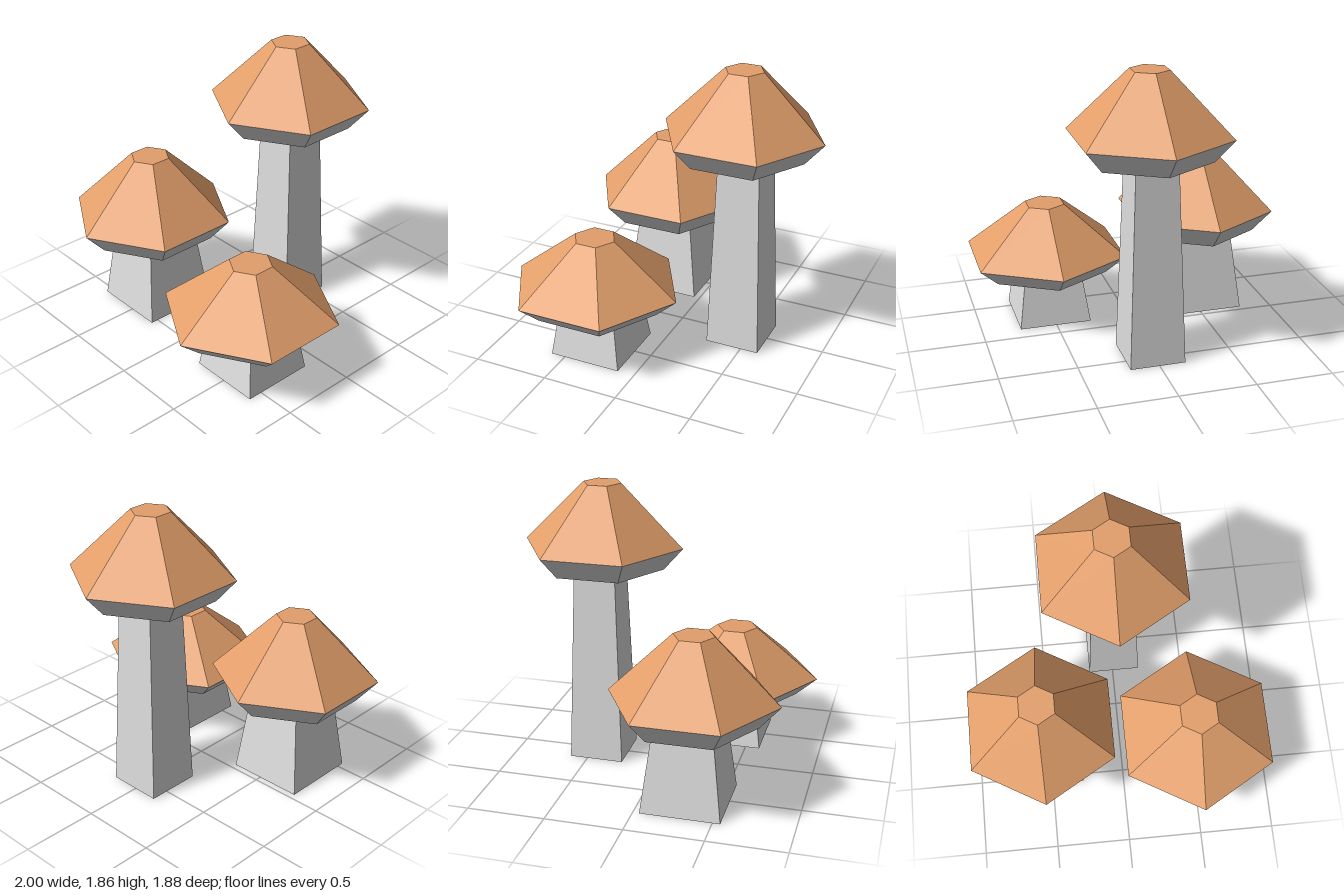
import * as THREE from 'three';

const capMat = new THREE.MeshStandardMaterial({ name: 'tan cap', color: 0xe39f6b, flatShading: true });
const stemMat = new THREE.MeshStandardMaterial({ name: 'pale grey', color: 0xdedede, flatShading: true });

// Frustum with n sides between heights y0 and y1.
function frustum(name, rTop, rBottom, y0, y1, sides, material, open = false) {
  const geometry = new THREE.CylinderGeometry(rTop, rBottom, y1 - y0, sides, 1, open);
  geometry.translate(0, (y0 + y1) / 2, 0);
  const mesh = new THREE.Mesh(geometry, material);
  mesh.name = name;
  return mesh;
}

function mushroom(name, m) {
  const group = new THREE.Group();
  group.name = name;

  // Hexagonal cap: sloping roof with a flat tip, and a tapering underside
  const [under, rim, top] = m.heights;
  const [rUnder, rRim, rTop] = m.radii;
  const cap = new THREE.Group();
  cap.name = 'cap';
  const roof = frustum('capRoof', rTop, rRim, rim, top, 6, capMat);
  // The roof's hidden base lies on the underside's top, so only the sides and tip are kept
  roof.geometry.setIndex([...roof.geometry.index.array].slice(0, -18));
  roof.geometry.clearGroups();
  const underside = frustum('capUnderside', rRim, rUnder, under, rim, 6, stemMat);
  cap.add(roof, underside);
  cap.position.set(m.cap[0], 0, m.cap[1]);

  // Square tapering stem
  const stem = frustum('stem', m.stemTop * Math.SQRT2, m.stemBase * Math.SQRT2, 0, under, 4, stemMat);
  stem.geometry.rotateY(Math.PI / 4);
  stem.position.set(m.stem[0], 0, m.stem[1]);

  group.add(cap, stem);
  return group;
}

export function createModel() {
  const model = new THREE.Group();
  model.name = 'mushroomCluster';
  model.add(
    mushroom('tallMushroom', {
      cap: [0.015, -0.415], heights: [1.315, 1.46, 1.86], radii: [0.4, 0.526, 0.125],
      stem: [0.01, -0.438], stemBase: 0.179, stemTop: 0.135,
    }),
    mushroom('middleMushroom', {
      cap: [-0.53, 0.315], heights: [0.54, 0.69, 1.1], radii: [0.41, 0.542, 0.13],
      stem: [-0.536, 0.295], stemBase: 0.254, stemTop: 0.188,
    }),
    mushroom('shortMushroom', {
      cap: [0.51, 0.376], heights: [0.328, 0.453, 0.79], radii: [0.424, 0.564, 0.138],
      stem: [0.505, 0.355], stemBase: 0.24, stemTop: 0.193,
    }),
  );
  return model;
}
